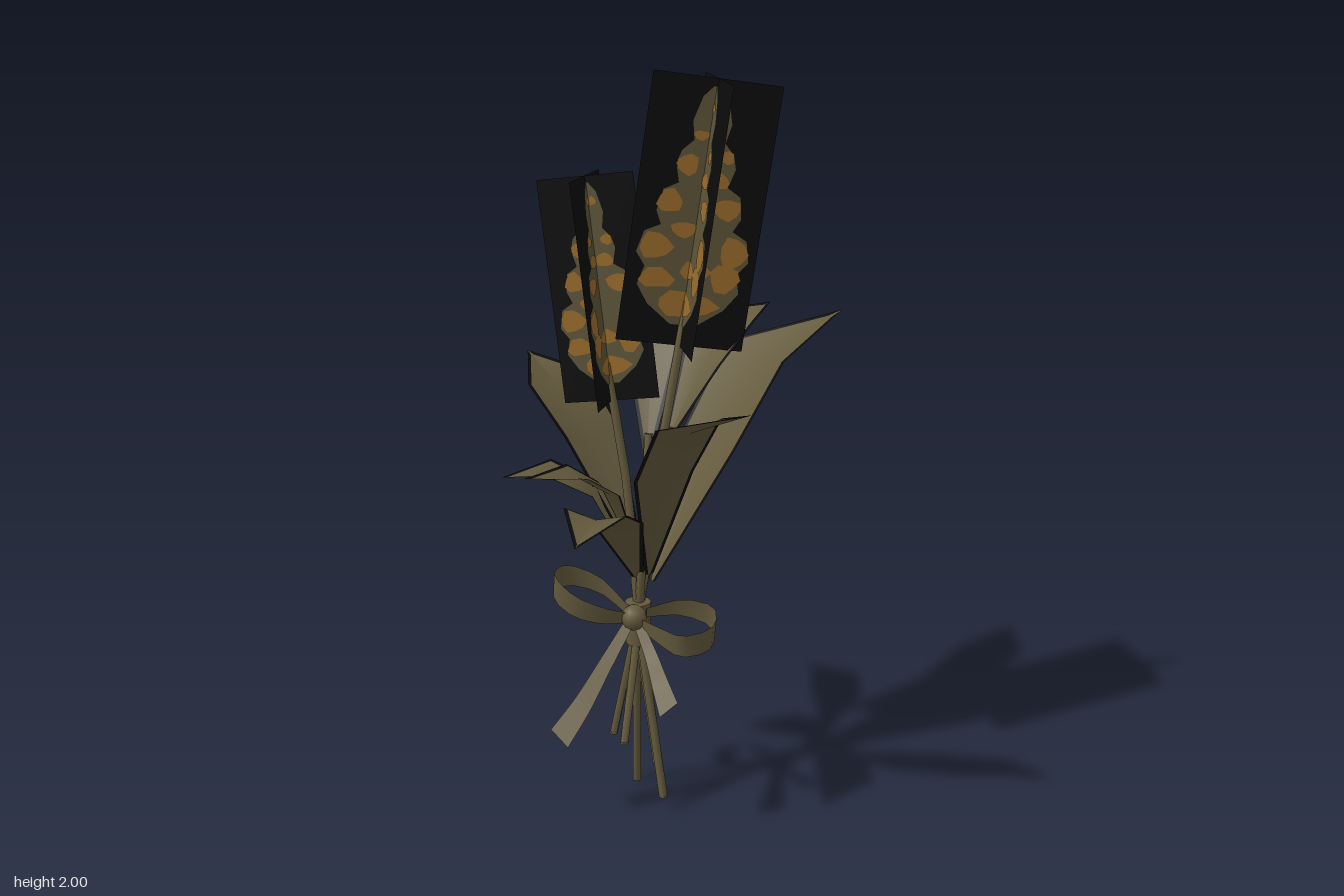
import * as THREE from 'three';

const mat = (name, color, extra = {}) => {
  const m = new THREE.MeshStandardMaterial({ color, side: THREE.DoubleSide, ...extra });
  m.name = name;
  return m;
};
const V = (p) => new THREE.Vector3(...p);

// Surface through rows of points; matOf(column) picks the material index
function loft(rows, matOf = () => 0) {
  const n = rows[0].length, g = new THREE.BufferGeometry(), index = [];
  g.setAttribute('position', new THREE.Float32BufferAttribute(rows.flat().flatMap((p) => p.toArray()), 3));
  for (let m = 0; m < 2; m++) {
    const start = index.length;
    for (let i = 0; i < rows.length - 1; i++) {
      for (let j = 0; j < n - 1; j++) {
        if (matOf(j) !== m) continue;
        const a = i * n + j, b = a + 1, c = a + n, d = c + 1;
        index.push(a, b, d, a, d, c);
      }
    }
    g.addGroup(start, index.length - start, m);
  }
  g.setIndex(index);
  g.computeVertexNormals();
  return g;
}

export function createModel() {
  const root = new THREE.Group();
  root.name = 'bouquet';
  const green = mat('leafOlive', 0x645a3d);
  const black = mat('edgeBlack', 0x0b0b0b);
  const bloomOlive = mat('bloomOlive', 0x5a5236);
  const orange = mat('bloomOrange', 0x96682a);

  const add = (parent, name, geo, material) => {
    const mesh = new THREE.Mesh(geo, material);
    mesh.name = name;
    parent.add(mesh);
    return mesh;
  };

  // Leaves: base, two wide sections and tip, then full width
  const leaves = [
    [[0, 0.65, 0.01], [0.12, 1.0, -0.13], [0.22, 1.22, -0.24], [0.42, 1.31, -0.455], 0.26],
    [[-0.02, 1.0, -0.02], [-0.045, 1.33, -0.18], [-0.043, 1.48, -0.32], [-0.03, 1.555, -0.485], 0.2],
    [[0.04, 1.05, 0.0], [0.11, 1.24, -0.08], [0.175, 1.34, -0.16], [0.253, 1.365, -0.275], 0.17],
    [[-0.03, 0.7, 0.02], [-0.19, 1.02, -0.08], [-0.3, 1.14, -0.14], [-0.42, 1.195, -0.24], 0.21],
    [[-0.04, 0.68, 0.02], [-0.15, 0.9, 0.04], [-0.27, 0.955, 0.06], [-0.39, 0.935, 0.09], 0.14],
    [[-0.03, 0.72, 0.04], [-0.09, 0.93, 0.11], [-0.155, 0.99, 0.17], [-0.27, 1.0, 0.26], 0.14],
    [[-0.03, 0.66, 0.04], [-0.05, 0.88, 0.2], [-0.062, 0.945, 0.33], [-0.07, 0.915, 0.485], 0.172],
    [[0, 0.68, 0.04], [0.09, 1.02, 0.24], [0.175, 1.19, 0.33], [0.335, 1.25, 0.37], 0.19],
  ];
  for (const [a, b, c, d, width] of leaves) {
    const pts = [a, b, c].map(V), tip = V(d);
    pts.push(pts[2].clone().lerp(tip, 0.86), tip);
    const dir = tip.clone().sub(pts[0]);
    const side = new THREE.Vector3(-dir.z, 0, dir.x).normalize();
    const half = [0.014, width * 0.46, width * 0.5, width * 0.07, 0.0005];
    const rows = pts.map((p, i) => {
      const inner = Math.max(half[i] - 0.011, half[i] * 0.1);
      return [-half[i], -inner, 0, inner, half[i]].map((s) =>
        p.clone().addScaledVector(side, s).add(new THREE.Vector3(0, Math.abs(s) * 0.25 - half[i] * 0.12, 0)));
    });
    add(root, 'leaf', loft(rows, (j) => (j === 0 || j === 3 ? 1 : 0)), [green, black]);
  }

  // Stems
  const stem = (points, r) => add(root, 'stem',
    new THREE.TubeGeometry(new THREE.CatmullRomCurve3(points.map(V)), 8, r, 6), green);
  const tie = [-0.03, 0.56, 0.04];
  stem([[-0.065, 0, -0.07], tie, [0.0, 0.85, 0.06], [0.03, 1.05, 0.02], [0.085, 1.42, -0.024]], 0.012);
  stem([[0.05, 0.04, 0.08], tie, [-0.06, 0.9, 0.03], [-0.12, 1.25, 0.017]], 0.012);
  stem([[0.02, 0.12, 0.035], tie, [-0.02, 0.8, 0.02], [-0.02, 1.05, -0.03]], 0.011);
  stem([[-0.11, 0.18, 0.01], tie, [0.0, 0.75, 0.03], [0.05, 1.08, 0]], 0.011);
  stem([[-0.04, 0.23, 0.155], tie, [-0.035, 0.72, 0.02]], 0.011);
  // Closed cut ends of the stems
  for (const p of [[-0.065, 0.003, -0.07], [0.05, 0.043, 0.08], [0.02, 0.123, 0.035], [-0.11, 0.183, 0.01], [-0.04, 0.233, 0.155]]) {
    const end = add(root, 'stemEnd', new THREE.CylinderGeometry(0.012, 0.012, 0.006, 6), green);
    end.position.set(...p);
  }

  // Ribbon knot, loops and tails
  const knot = add(root, 'ribbonKnot', new THREE.CylinderGeometry(0.036, 0.032, 0.12, 10), green);
  knot.position.set(-0.03, 0.54, 0.045);
  const bead = add(root, 'ribbonKnotFront', new THREE.SphereGeometry(0.035, 10, 8), green);
  bead.position.set(-0.03, 0.57, 0.085);
  const ribbon = (name, points, across, ends) => {
    const steps = 14, w = V(across);
    const rows = new THREE.CatmullRomCurve3(points.map(V)).getPoints(steps).map((p, i) => {
      const s = ends(i / steps) / 2;
      return [p.clone().addScaledVector(w, -s), p.clone().addScaledVector(w, s)];
    });
    add(root, name, loft(rows), green);
  };
  const loopWidth = (t) => 0.4 + 0.6 * Math.sin(Math.PI * t);
  ribbon('ribbonLoopLeft', [[0, 0.58, 0.07], [0.09, 0.595, 0.045], [0.18, 0.58, 0.06], [0.19, 0.55, 0.12],
    [0.12, 0.535, 0.16], [0.05, 0.545, 0.13], [-0.02, 0.56, 0.09]], [0.01, 0.075, 0.02], loopWidth);
  ribbon('ribbonLoopRight', [[-0.05, 0.58, 0.07], [-0.14, 0.635, 0.04], [-0.23, 0.66, 0.06], [-0.245, 0.65, 0.11],
    [-0.18, 0.615, 0.15], [-0.1, 0.585, 0.13], [-0.04, 0.57, 0.09]], [0.01, 0.075, 0.02], loopWidth);
  const tailWidth = (t) => 0.4 + 0.6 * t;
  ribbon('ribbonTailLeft', [[-0.02, 0.56, 0.09], [0.03, 0.49, 0.14], [0.07, 0.44, 0.2], [0.105, 0.39, 0.245]],
    [0.045, 0.04, -0.015], tailWidth);
  ribbon('ribbonTailRight', [[-0.04, 0.56, 0.08], [-0.1, 0.44, 0.13], [-0.15, 0.34, 0.17], [-0.205, 0.25, 0.21]],
    [0.055, -0.035, 0.025], tailWidth);

  // Flower heads: two crossed dark cards with a painted spike on each face
  const outline = [[0.1, 0.08], [0.3, 0.15], [0.4, 0.22], [0.36, 0.29], [0.44, 0.34], [0.4, 0.42], [0.28, 0.45],
    [0.33, 0.5], [0.3, 0.58], [0.19, 0.61], [0.23, 0.68], [0.2, 0.73], [0.12, 0.77], [0.15, 0.84], [0.1, 0.93], [0.03, 0.97]];
  const spike = new THREE.Shape([...outline, ...outline.map(([u, v]) => [-u, v]).reverse()]
    .map(([u, v]) => new THREE.Vector2(u, v)));
  // Orange petals: centre u, centre v, half width, half height
  const petals = [[0, 0.16, 0.24, 0.05], [-0.26, 0.25, 0.14, 0.04], [0.27, 0.27, 0.12, 0.055], [-0.3, 0.37, 0.13, 0.05],
    [0.31, 0.37, 0.11, 0.06], [0.03, 0.29, 0.12, 0.035], [-0.1, 0.44, 0.1, 0.03], [-0.24, 0.54, 0.1, 0.045],
    [0.21, 0.53, 0.11, 0.04], [0.1, 0.63, 0.1, 0.03], [-0.14, 0.68, 0.085, 0.04], [0.15, 0.72, 0.06, 0.025],
    [-0.07, 0.79, 0.06, 0.018], [0.05, 0.89, 0.04, 0.02]];
  const petalShapes = petals.map(([u, v, a, b]) => new THREE.Shape(Array.from({ length: 9 }, (_, i) => {
    const t = (i / 9) * Math.PI * 2, k = 1 + 0.14 * Math.cos(3 * t + u * 20);
    return new THREE.Vector2(u + a * k * Math.cos(t), v + b * k * Math.sin(t));
  })));
  const flower = (bottom, top, widths) => {
    const head = new THREE.Group();
    head.name = 'flowerHead';
    root.add(head);
    const up = V(top).sub(V(bottom));
    for (const w of widths) {
      const across = V(w), normal = across.clone().cross(up).normalize();
      const place = (geo, offset) => geo.applyMatrix4(new THREE.Matrix4().makeBasis(across, up, normal)
        .setPosition(V(bottom).addScaledVector(normal, offset)));
      add(head, 'flowerCard', place(new THREE.PlaneGeometry(1, 1).translate(0, 0.5, 0), 0), black);
      for (const s of [1, -1]) {
        add(head, 'flowerSpike', place(new THREE.ShapeGeometry(spike), s * 0.003), bloomOlive);
        add(head, 'flowerPetals', place(new THREE.ShapeGeometry(petalShapes), s * 0.005), orange);
      }
    }
  };
  flower([0.065, 1.3, -0.015], [0.152, 1.975, -0.068], [[0.3, -0.05, -0.14], [0.14, 0.005, 0.305]]);
  flower([-0.105, 1.15, 0.02], [-0.18, 1.73, -0.003], [[0.255, 0.035, 0], [0, 0.01, 0.262]]);

  return root;
}
